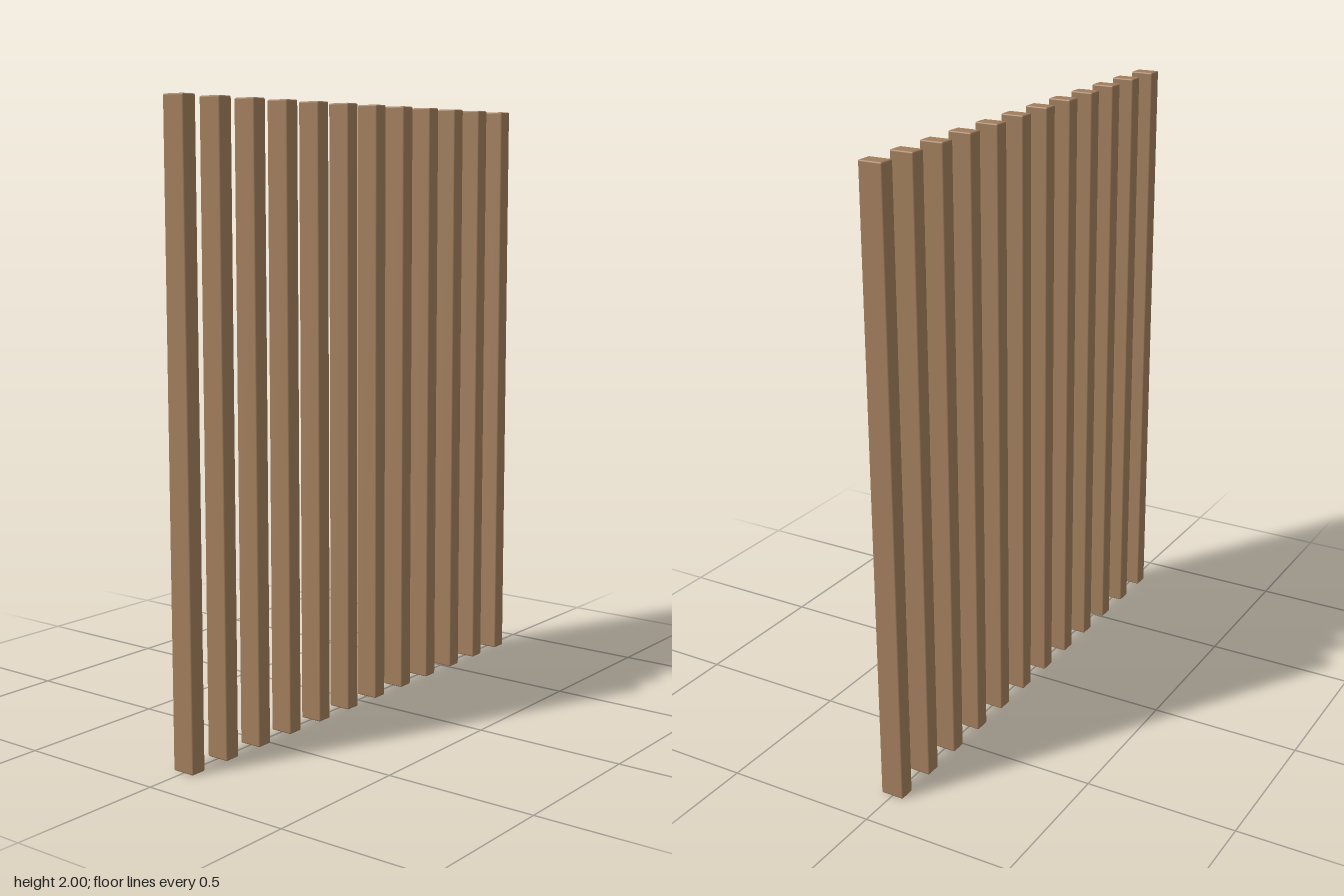
import * as THREE from 'three';
import { RoundedBoxGeometry } from 'three/addons/geometries/RoundedBoxGeometry.js';

const COUNT = 12, PITCH = 0.1515;
const WIDTH = 0.054, HEIGHT = 2, DEPTH = 0.078, EDGE = 0.005;

export function createModel() {
  const model = new THREE.Group();
  model.name = 'slatScreen';

  const wood = new THREE.MeshStandardMaterial({ color: 0xa07d5c });
  wood.name = 'wood';

  // One upright slat with softly eased edges, repeated along x
  const slatGeometry = new RoundedBoxGeometry(WIDTH, HEIGHT, DEPTH, 2, EDGE);
  for (let i = 0; i < COUNT; i++) {
    const slat = new THREE.Mesh(slatGeometry, wood);
    slat.name = `slat${i + 1}`;
    slat.position.set((i - (COUNT - 1) / 2) * PITCH, HEIGHT / 2, 0);
    model.add(slat);
  }
  return model;
}
